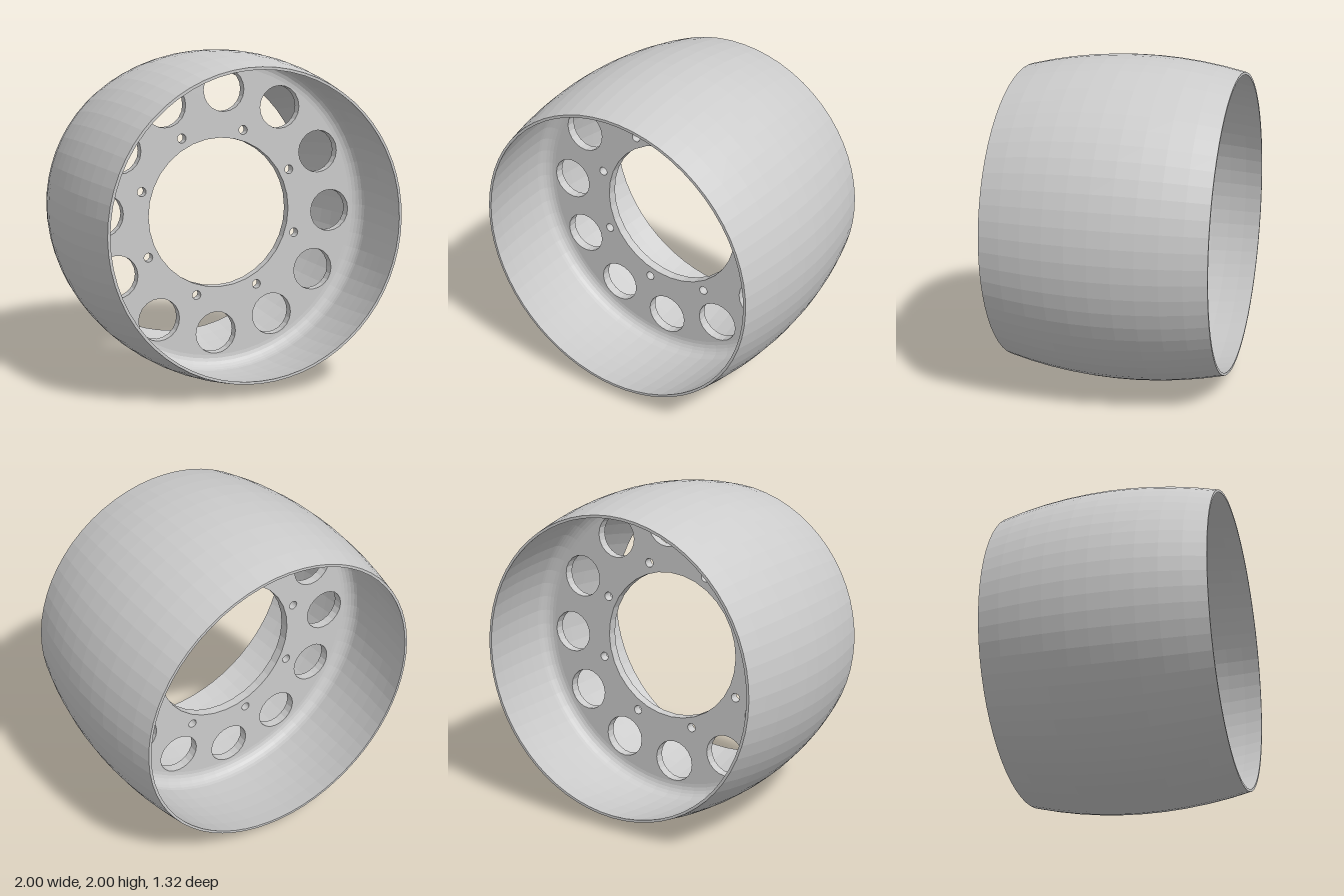
import * as THREE from 'three';

const SIDES = 64;
const HALF_WIDTH = 0.66;
const WALL = 0.016;
const PLATE_RADIUS = 0.9;
const PLATE_HALF = 0.03;
const FILLET_Z = 0.11;

// Crowned tread: a circular arc from radius 1 at the middle to 0.918 at the rims
const crown = (z) => {
  const sag = 0.082;
  const R = (HALF_WIDTH ** 2 + sag ** 2) / (2 * sag);
  return 1 - R + Math.sqrt(R * R - z * z);
};

// Regular polygon points for an outline or a hole
function ring(cx, cy, radius, sides) {
  return Array.from({ length: sides }, (_, i) => {
    const a = (i / sides) * Math.PI * 2;
    return new THREE.Vector2(cx + radius * Math.cos(a), cy + radius * Math.sin(a));
  });
}

// Inner wall of one side, from the rim down through the fillet to the plate
function innerWall() {
  const pts = [];
  for (let i = 0; i <= 5; i++) {
    const z = THREE.MathUtils.lerp(HALF_WIDTH, FILLET_Z, i / 5);
    pts.push(new THREE.Vector2(crown(z) - WALL, z));
  }
  const w = crown(FILLET_Z) - WALL;
  for (let i = 1; i <= 6; i++) {
    const t = (i / 6) * Math.PI / 2;
    pts.push(new THREE.Vector2(
      PLATE_RADIUS + (w - PLATE_RADIUS) * Math.cos(t),
      FILLET_Z - (FILLET_Z - PLATE_HALF) * Math.sin(t)));
  }
  return pts;
}

export function createModel() {
  const group = new THREE.Group();
  group.name = 'drumWheel';
  const material = new THREE.MeshStandardMaterial({ color: 0xcccccc, flatShading: true });

  // Barrel shell: closed profile turned about the wheel axis
  const profile = [];
  for (let i = 0; i <= 10; i++) {
    const z = THREE.MathUtils.lerp(-HALF_WIDTH, HALF_WIDTH, i / 10);
    profile.push(new THREE.Vector2(crown(z), z));
  }
  const inner = innerWall();
  const mirrored = inner.map((p) => new THREE.Vector2(p.x, -p.y)).reverse();
  profile.push(...inner, ...mirrored, profile[0].clone());
  const shellGeometry = new THREE.LatheGeometry(profile, SIDES).rotateX(Math.PI / 2);
  const shell = new THREE.Mesh(shellGeometry, material);
  shell.name = 'barrelShell';
  group.add(shell);

  // Web plate with hub bore, lightening holes and bolt holes
  const plate = new THREE.Shape(ring(0, 0, PLATE_RADIUS, SIDES));
  plate.holes.push(new THREE.Path(ring(0, 0, 0.465, 32)));
  const holeCircle = (count, startDeg, pitchRadius, radius, sides) => {
    for (let i = 0; i < count; i++) {
      const a = THREE.MathUtils.degToRad(startDeg + (i * 360) / count);
      plate.holes.push(new THREE.Path(
        ring(pitchRadius * Math.cos(a), pitchRadius * Math.sin(a), radius, sides)));
    }
  };
  holeCircle(12, 88, 0.757, 0.133, 20);
  holeCircle(8, 73, 0.53, 0.028, 16);
  const plateGeometry = new THREE.ExtrudeGeometry(plate, { depth: PLATE_HALF * 2, bevelEnabled: false });
  plateGeometry.translate(0, 0, -PLATE_HALF);
  const web = new THREE.Mesh(plateGeometry, material);
  web.name = 'webPlate';
  group.add(web);

  group.position.y = 1;
  return group;
}
